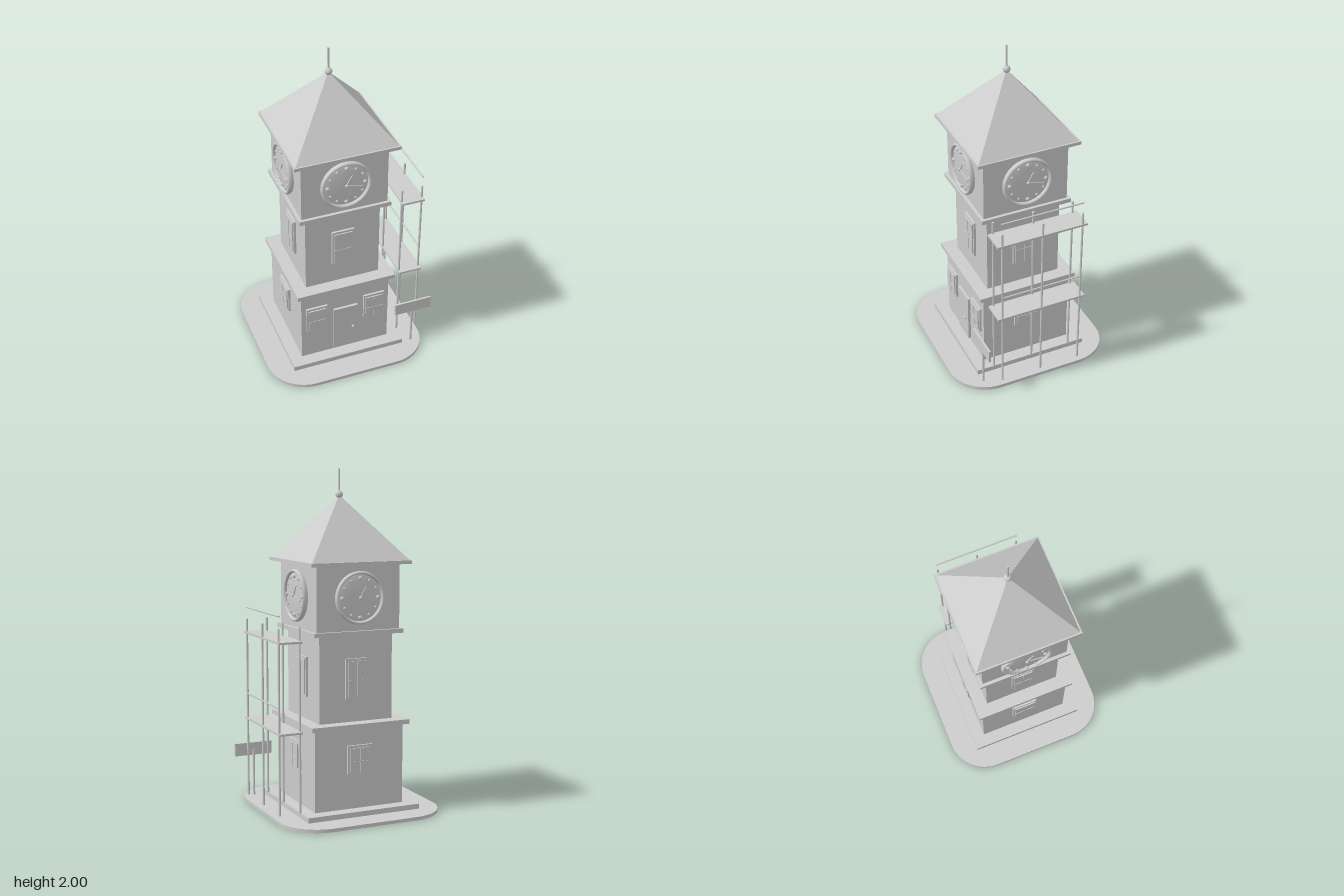
import * as THREE from 'three';

export function createModel() {
  const model = new THREE.Group();
  model.name = 'clockTower';
  const stone = new THREE.MeshStandardMaterial({ color: 0xcccccc });
  stone.name = 'light grey';

  const add = (parent, name, geo, x = 0, y = 0, z = 0) => {
    const m = new THREE.Mesh(geo, stone);
    m.name = name;
    m.position.set(x, y, z);
    parent.add(m);
    return m;
  };
  const box = (parent, name, w, h, d, x, y, z) =>
    add(parent, name, new THREE.BoxGeometry(w, h, d), x, y, z);
  const rod = (parent, name, r, len, x, y, z) =>
    add(parent, name, new THREE.CylinderGeometry(r, r, len, 10), x, y, z);

  // Rounded ground slab
  const hw = 0.495, hd = 0.5, r = 0.235;
  const s = new THREE.Shape();
  s.absarc(hw - r, hd - r, r, 0, Math.PI / 2);
  s.absarc(-hw + r, hd - r, r, Math.PI / 2, Math.PI);
  s.absarc(-hw + r, -hd + r, r, Math.PI, Math.PI * 1.5);
  s.absarc(hw - r, -hd + r, r, Math.PI * 1.5, Math.PI * 2);
  const slab = new THREE.ExtrudeGeometry(s, { depth: 0.02, bevelEnabled: false, curveSegments: 8 });
  slab.rotateX(-Math.PI / 2);
  add(model, 'ground', slab, -0.02, 0, 0);

  // Tower body: name, half width, bottom, top
  const tower = new THREE.Group();
  tower.name = 'tower';
  tower.position.x = -0.02;
  model.add(tower);
  const tiers = [
    ['plinth', 0.355, 0.02, 0.05],
    ['lowerStorey', 0.28, 0.05, 0.525],
    ['lowerCornice', 0.309, 0.525, 0.552],
    ['middleStorey', 0.231, 0.552, 1.06],
    ['upperCornice', 0.281, 1.06, 1.085],
    ['clockStorey', 0.262, 1.085, 1.46],
    ['eaves', 0.315, 1.46, 1.48],
  ];
  for (const [name, half, y0, y1] of tiers)
    box(tower, name, half * 2, y1 - y0, half * 2, 0, (y0 + y1) / 2, 0);

  // Pyramid roof and finial
  const roof = new THREE.ConeGeometry(0.306 * Math.SQRT2, 0.37, 4, 1).toNonIndexed();
  roof.rotateY(Math.PI / 4);
  roof.computeVertexNormals();
  add(tower, 'roof', roof, 0, 1.665, 0);
  add(tower, 'finialBall', new THREE.SphereGeometry(0.022, 20, 14), 0, 1.853, 0);
  rod(tower, 'finialSpike', 0.006, 0.14, 0, 1.93, 0);

  // Window with frame, raised pane panel and thin glazing bars
  const addWindow = (side, x, y, z, w, h) => {
    const g = new THREE.Group();
    g.name = 'window';
    g.position.set(x, y, z);
    side.add(g);
    box(g, 'windowFrame', w, h, 0.014, 0, 0, 0.007);
    box(g, 'windowPane', w - 0.022, h - 0.028, 0.008, 0, 0, 0.017);
    box(g, 'verticalBar', 0.005, h - 0.028, 0.003, 0, 0, 0.0222);
    box(g, 'horizontalBar', w - 0.022, 0.005, 0.003, 0, -0.01, 0.0222);
  };

  // Clock: domed dial, rim, hour marks and hands
  const dome = [];
  for (let i = 0; i <= 8; i++) {
    const a = (i / 8) * Math.PI / 2;
    dome.push(new THREE.Vector2(0.14 * Math.cos(a), 0.012 + 0.014 * Math.sin(a)));
  }
  dome[8].x = 0;
  const dialGeo = new THREE.LatheGeometry(dome, 40).rotateX(Math.PI / 2);
  const addHand = (clock, name, dx, dy, w) => {
    const len = Math.hypot(dx, dy);
    const hand = box(clock, name, w, len, 0.006, dx / 2, dy / 2, 0.03);
    hand.rotation.z = -Math.atan2(dx, dy);
  };
  const addClock = (side) => {
    const g = new THREE.Group();
    g.name = 'clock';
    g.position.set(0, 1.275, 0.262);
    side.add(g);
    add(g, 'dial', dialGeo);
    const back = new THREE.CylinderGeometry(0.145, 0.145, 0.016, 40).rotateX(Math.PI / 2);
    add(g, 'clockBack', back, 0, 0, 0.008);
    const rim = add(g, 'rim', new THREE.TorusGeometry(0.143, 0.01, 10, 48), 0, 0, 0.018);
    rim.scale.z = 1.6;
    for (let i = 0; i < 12; i++) {
      const a = (i / 12) * Math.PI * 2;
      const size = i % 3 ? 0.008 : 0.012;
      add(g, 'hourMark', new THREE.SphereGeometry(size, 10, 8),
        0.112 * Math.sin(a), 0.112 * Math.cos(a), 0.021);
    }
    addHand(g, 'hourHand', 0.036, 0.06, 0.012);
    addHand(g, 'minuteHand', 0.097, -0.024, 0.008);
    add(g, 'handPin', new THREE.SphereGeometry(0.01, 12, 8), 0, 0, 0.03);
  };

  // Four sides share the clock and middle window; only the front has the door
  ['front', 'leftSide', 'back', 'rightSide'].forEach((name, i) => {
    const side = new THREE.Group();
    side.name = name;
    side.rotation.y = i * Math.PI / 2;
    tower.add(side);
    addClock(side);
    addWindow(side, 0, 0.805, 0.231, 0.138, 0.235);
    if (i === 0) {
      for (const sx of [-1, 1]) addWindow(side, sx * 0.183, 0.34, 0.28, 0.132, 0.17);
      box(side, 'door', 0.152, 0.305, 0.016, 0, 0.222, 0.288);
      add(side, 'doorKnob', new THREE.SphereGeometry(0.009, 12, 10), 0.045, 0.215, 0.303);
    } else {
      addWindow(side, 0, 0.34, 0.28, 0.158, 0.17);
    }
  });

  // Scaffold: six poles, two decks and two guard rails
  const scaffold = new THREE.Group();
  scaffold.name = 'scaffold';
  model.add(scaffold);
  for (const x of [0.34, 0.466])
    for (const z of [-0.25, 0, 0.25]) rod(scaffold, 'pole', 0.0065, 1.07, x, 0.587, z);
  for (const y of [0.523, 1.04]) {
    box(scaffold, 'deck', 0.14, 0.012, 0.56, 0.405, y, 0);
    rod(scaffold, 'guardRail', 0.005, 0.51, 0.466, y + 0.15, 0).rotation.x = Math.PI / 2;
  }

  // Sign board on a post
  const sign = new THREE.Group();
  sign.name = 'sign';
  model.add(sign);
  rod(sign, 'signPost', 0.007, 0.29, 0.396, 0.16, 0.345);
  box(sign, 'signBoard', 0.235, 0.077, 0.013, 0.397, 0.307, 0.353);

  return model;
}
